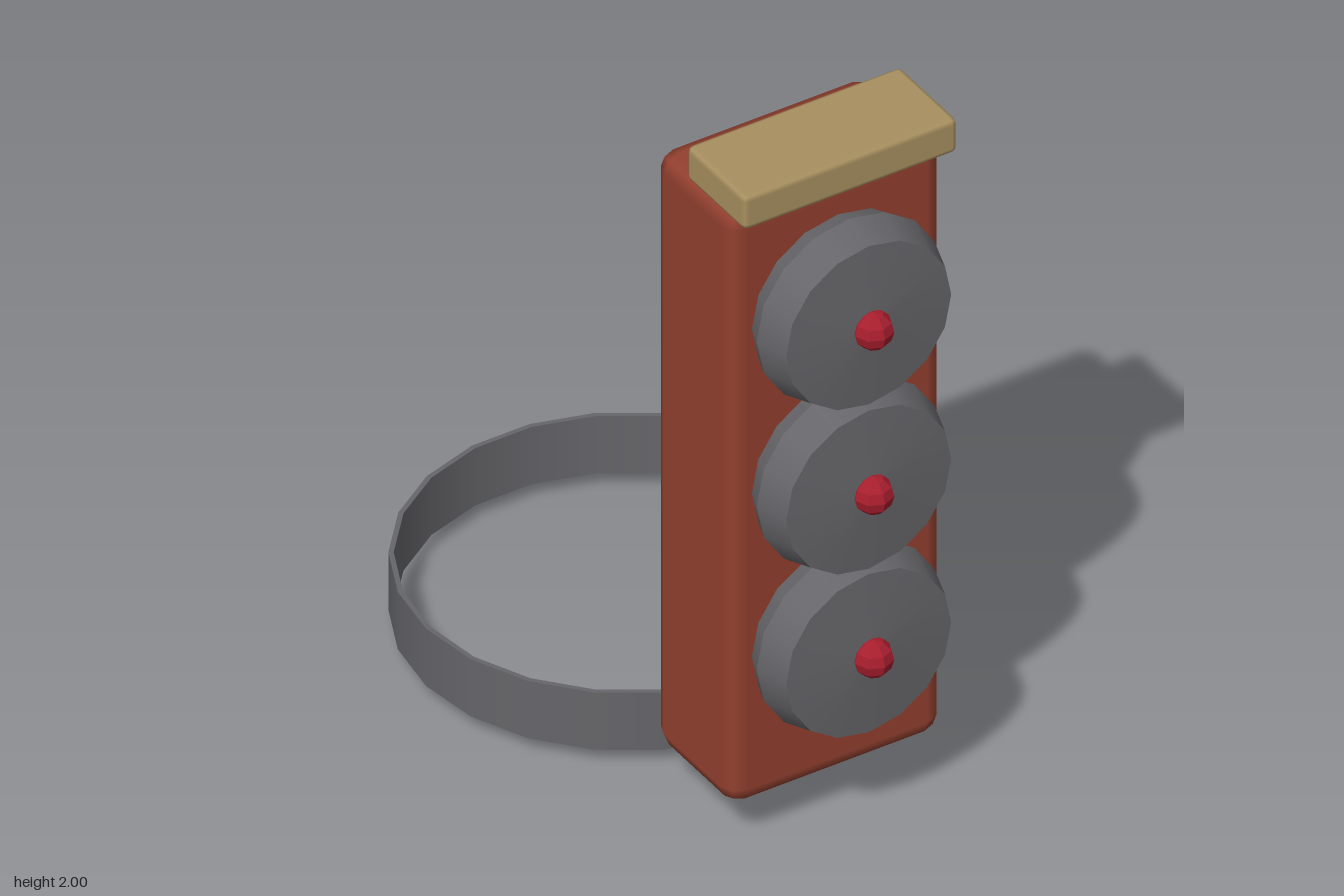
import * as THREE from 'three';
import { RoundedBoxGeometry } from 'three/addons/geometries/RoundedBoxGeometry.js';

const paint = (color, extra = {}) => new THREE.MeshStandardMaterial({ color, ...extra });
const RED = paint(0x93402f);
const BRASS = paint(0xa89060);
const GREY = paint(0x66666a);
const BAND = paint(0x66666a, { side: THREE.DoubleSide });
const KNOB = paint(0xa81e2e, { flatShading: true });

export function createModel() {
  const model = new THREE.Group();
  model.name = 'model';

  const add = (name, geometry, material, x, y, z) => {
    const mesh = new THREE.Mesh(geometry, material);
    mesh.name = name;
    mesh.position.set(x, y, z);
    model.add(mesh);
    return mesh;
  };

  // Bevelled box given by its y and z ranges, centred on x = 0
  const block = (name, width, [y0, y1], [z0, z1], bevel, material) =>
    add(name, new RoundedBoxGeometry(width, y1 - y0, z1 - z0, 1, bevel), material,
      0, (y0 + y1) / 2, (z0 + z1) / 2);

  block('body', 0.61, [0.14, 1.9], [0.3, 0.65], 0.05, RED);
  block('topCap', 0.61, [1.9, 2.0], [0.45, 0.71], 0.016, BRASS);
  block('bandClasp', 0.3, [0.005, 0.26], [0.27, 0.445], 0.045, BRASS);

  // Thin band ring; 22 sides with corners at the left and right extremes
  const v = (r, y) => new THREE.Vector2(r, y);
  const walls = [
    [v(0.564, 0.22), v(0.564, 0.05)],
    [v(0.564, 0.05), v(0.577, 0.05)],
    [v(0.577, 0.05), v(0.577, 0.22)],
    [v(0.577, 0.22), v(0.564, 0.22)],
  ];
  const band = new THREE.Group();
  band.name = 'bandRing';
  band.position.z = -0.285;
  for (const wall of walls) {
    const mesh = new THREE.Mesh(new THREE.LatheGeometry(wall, 22, Math.PI / 2), BAND);
    mesh.name = 'bandSurface';
    band.add(mesh);
  }
  model.add(band);

  // Three dials: flared back, tapered rim and a slightly domed face, each with a centre knob
  const rings = [
    [v(0.238, -0.02), v(0.263, 0.05)],
    [v(0.263, 0.05), v(0.235, 0.138)],
    [v(0.235, 0.138), v(0, 0.155)],
  ];
  [0.58, 1.065, 1.553].forEach((y) => {
    const dial = new THREE.Group();
    dial.name = 'dial';
    dial.position.set(0, y, 0.65);
    for (const ring of rings) {
      const mesh = new THREE.Mesh(new THREE.LatheGeometry(ring, 16), GREY);
      mesh.name = 'dialSurface';
      mesh.rotation.x = Math.PI / 2;
      dial.add(mesh);
    }
    const knob = new THREE.Mesh(new THREE.SphereGeometry(0.052, 8, 6), KNOB);
    knob.name = 'knob';
    knob.position.z = 0.158;
    dial.add(knob);
    model.add(dial);
  });

  return model;
}
